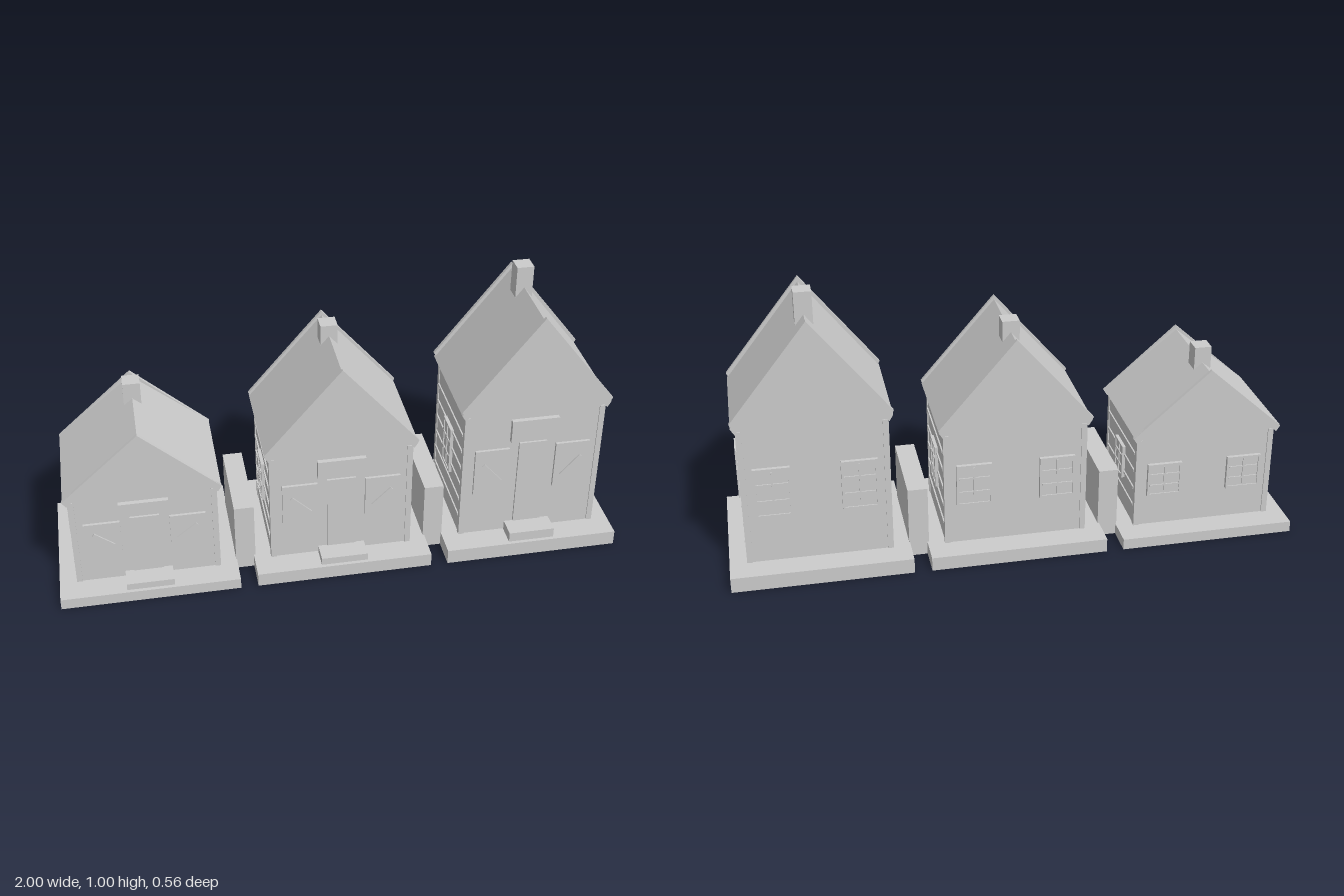
import * as THREE from 'three';

const grey = new THREE.MeshStandardMaterial({ color: 0xcccccc });
grey.name = 'plain grey';

function add(parent, name, geometry, x = 0, y = 0, z = 0) {
  const mesh = new THREE.Mesh(geometry, grey);
  mesh.name = name;
  mesh.position.set(x, y, z);
  parent.add(mesh);
  return mesh;
}

// Box given by its centre x and z, and its bottom and top heights
function block(parent, name, w, d, x, y0, y1, z) {
  return add(parent, name, new THREE.BoxGeometry(w, y1 - y0, d), x, (y0 + y1) / 2, z);
}

// Outline in x and y, extruded between two z values
function slab(parent, name, points, z0, z1) {
  const shape = new THREE.Shape(points.map(([x, y]) => new THREE.Vector2(x, y)));
  return add(parent, name, new THREE.ExtrudeGeometry(shape, { depth: z1 - z0, bevelEnabled: false }), 0, 0, z0);
}

// Chevron running from the ridge down to both eaves
function chevron(ridge, eave, half, drop, tuck) {
  const inner = half - tuck;
  const slope = (ridge - eave) / half;
  const end = ridge - drop - inner * slope;
  return [[0, ridge], [-half, eave], [-inner, end], [0, ridge - drop], [inner, end], [half, eave]];
}

// Pane facing +z with crossed glazing bars
function paneWindow(parent, name, w, h) {
  const g = new THREE.Group();
  g.name = name;
  add(g, 'pane', new THREE.BoxGeometry(w, h, 0.012));
  add(g, 'uprightBar', new THREE.BoxGeometry(0.006, h * 0.86, 0.006), 0, 0, 0.007);
  for (const k of [-0.17, 0.17]) {
    add(g, 'crossBar', new THREE.BoxGeometry(w * 0.86, 0.006, 0.006), 0, k * h, 0.007);
  }
  for (const s of [-1, 1]) {
    add(g, 'frameSide', new THREE.BoxGeometry(0.008, h, 0.006), s * (w / 2 - 0.004), 0, 0.007);
    add(g, 'frameRail', new THREE.BoxGeometry(w, 0.008, 0.006), 0, s * (h / 2 - 0.004), 0.007);
  }
  parent.add(g);
  return g;
}

function createHouse(p) {
  const house = new THREE.Group();
  house.name = p.name;
  house.position.x = p.x;

  block(house, 'base', 0.626, 0.56, 0, 0, p.base, 0);

  // Walls with front and back gables
  const slope = (p.ridge - p.eave) / 0.268;
  const apex = p.ridge - p.drop + 0.002;
  const wallTop = apex - 0.25 * slope;
  slab(house, 'walls', [[-0.25, p.base], [0.25, p.base], [0.25, wallTop], [0, apex], [-0.25, wallTop]], -0.188, 0.188);

  // Roof and raised gable trim
  slab(house, 'roof', chevron(p.ridge, p.eave, 0.268, p.drop, 0.014), -0.203, 0.203);
  for (const s of [-1, 1]) {
    slab(house, 'gableTrim', chevron(p.trimRidge, p.trimEave, 0.27, p.drop, 0.014), s * 0.2005 - 0.0065, s * 0.2005 + 0.0065);
  }
  block(house, 'chimney', 0.06, 0.06, 0, p.chimney - 0.115, p.chimney, -0.075);

  // Entrance
  block(house, 'doorstep', 0.166, 0.075, 0, p.base, p.step, 0.2295);
  block(house, 'door', 0.102, 0.012, 0, p.base, p.door, 0.19);
  block(house, 'doorBoard', 0.17, 0.02, 0, p.board[0], p.board[1], 0.195);

  const [low, high] = p.window;
  const h = high - low, mid = (low + high) / 2;
  for (const s of [-1, 1]) {
    // Front windows with a slanted strip across each
    block(house, 'frontWindow', 0.125, 0.012, s * 0.147, low, high, 0.192);
    const dx = 0.034, dy = h * 0.21;
    const strip = add(house, 'slantedStrip', new THREE.BoxGeometry(2 * Math.hypot(dx, dy), 0.013, 0.006), s * 0.145, mid - 0.005, 0.2);
    strip.rotation.z = s * Math.atan2(dy, dx);

    // Back and side windows
    const back = paneWindow(house, 'backWindow', 0.125, h);
    back.position.set(s * 0.147, mid, -0.191);
    back.rotation.y = Math.PI;
    const side = paneWindow(house, 'sideWindow', 0.098, h);
    side.position.set(s * 0.252, mid, 0);
    side.rotation.y = s * Math.PI / 2;

    // Corner boards and siding battens
    for (const t of [-1, 1]) {
      block(house, 'cornerBoard', 0.02, 0.02, s * 0.243, p.base, wallTop - 0.005, t * 0.182);
    }
    for (let y = p.base + 0.075; y < wallTop - 0.03; y += 0.069) {
      block(house, 'sidingBatten', 0.008, 0.344, s * 0.251, y - 0.004, y + 0.004, 0);
    }
  }
  return house;
}

export function createModel() {
  const model = new THREE.Group();
  model.name = 'houseRow';
  const houses = [
    { name: 'smallHouse', x: -0.687, base: 0.04, ridge: 0.625, eave: 0.404, drop: 0.034, trimRidge: 0.64, trimEave: 0.4,
      chimney: 0.683, step: 0.065, door: 0.297, board: [0.313, 0.363], window: [0.16, 0.286] },
    { name: 'middleHouse', x: 0, base: 0.05, ridge: 0.8, eave: 0.492, drop: 0.038, trimRidge: 0.815, trimEave: 0.503,
      chimney: 0.84, step: 0.077, door: 0.365, board: [0.383, 0.45], window: [0.2, 0.356] },
    { name: 'tallHouse', x: 0.687, base: 0.055, ridge: 0.922, eave: 0.58, drop: 0.042, trimRidge: 0.94, trimEave: 0.597,
      chimney: 1, step: 0.092, door: 0.435, board: [0.447, 0.535], window: [0.233, 0.417] },
  ];
  for (const p of houses) model.add(createHouse(p));

  // Low walls joining the houses
  for (const s of [-1, 1]) block(model, 'linkWall', 0.07, 0.336, s * 0.342, 0, 0.263, 0);
  return model;
}
